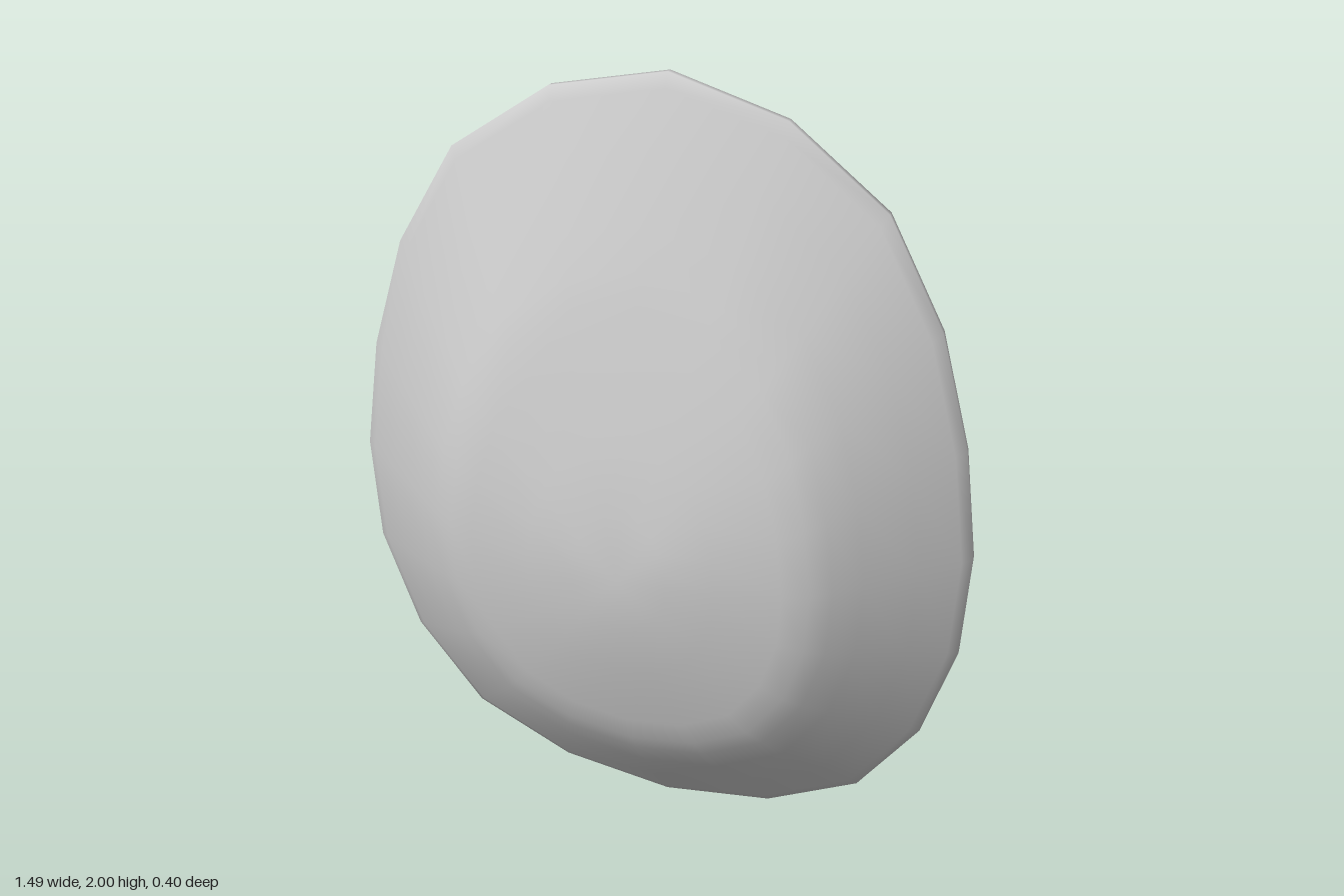
import * as THREE from 'three';
import { mergeVertices } from 'three/addons/utils/BufferGeometryUtils.js';

const CENTER_Y = 0.9;

// Right half of the outline, top to bottom, mirrored to close the loop
const half = [
  [0, 2], [0.27, 1.93], [0.5, 1.755], [0.635, 1.5], [0.71, 1.22], [0.745, 0.94],
  [0.73, 0.67], [0.65, 0.405], [0.5, 0.18], [0.27, 0.05], [0, 0.005],
];
const outline = [...half, ...half.slice(1, -1).reverse().map(([x, y]) => [-x, y])];

// Front surface, centre to rim: scale of the outline, then depth toward top, side and bottom
const front = [
  [0, 0.195, 0.195, 0.195],
  [0.15, 0.17, 0.191, 0.192],
  [0.3, 0.137, 0.18, 0.172],
  [0.5, 0.07, 0.155, 0.13],
  [0.58, 0.044, 0.138, 0.105],
  [0.64, 0.022, 0.11, 0.075],
  [0.72, -0.01, 0.065, 0.03],
  [0.86, -0.07, -0.016, -0.066],
  [0.97, -0.121, -0.082, -0.143],
  [1, -0.135, -0.1, -0.165],
];
const shift = ([t, ...z], dt, dz) => [t + dt, ...z.map((v) => v + dz)];

// Rounded lip, then the hollow back following the front at a small thickness
const edge = front[front.length - 1];
const lip = [shift(edge, -0.003, -0.018), shift(edge, -0.018, -0.034), shift(edge, -0.038, -0.036), shift(edge, -0.055, -0.026)];
const back = front.slice(0, -2).reverse().map((row) => shift(row, 0, row[0] > 0.6 ? -0.052 : -0.042));
const rows = [...front, ...lip, ...back];

function createShell() {
  const positions = [];
  const indices = [];
  const n = outline.length;
  for (const [t, top, side, bottom] of rows) {
    for (const [x, y] of outline) {
      const dy = y - CENTER_Y;
      const w = (dy / (dy > 0 ? 2 - CENTER_Y : CENTER_Y)) ** 2;
      const z = THREE.MathUtils.lerp(side, dy > 0 ? top : bottom, Math.min(w, 1));
      positions.push(x * t, CENTER_Y + dy * t, z);
    }
  }
  for (let r = 0; r < rows.length - 1; r++) {
    for (let i = 0; i < n; i++) {
      const j = (i + 1) % n;
      const a = r * n + i, b = r * n + j, c = a + n, d = b + n;
      // Skip the collapsed triangles at the two poles
      if (r < rows.length - 2) indices.push(a, d, c);
      else indices.push(a, b, c);
      if (r > 0 && r < rows.length - 2) indices.push(a, b, d);
    }
  }
  let geometry = new THREE.BufferGeometry();
  geometry.setAttribute('position', new THREE.Float32BufferAttribute(positions, 3));
  geometry.setIndex(indices);
  geometry = mergeVertices(geometry, 1e-5);
  geometry.computeVertexNormals();
  return geometry;
}

export function createModel() {
  const group = new THREE.Group();
  group.name = 'ovalShell';
  const shell = new THREE.Mesh(createShell(), new THREE.MeshStandardMaterial({ color: 0xcccccc }));
  shell.name = 'shell';
  group.add(shell);
  return group;
}
